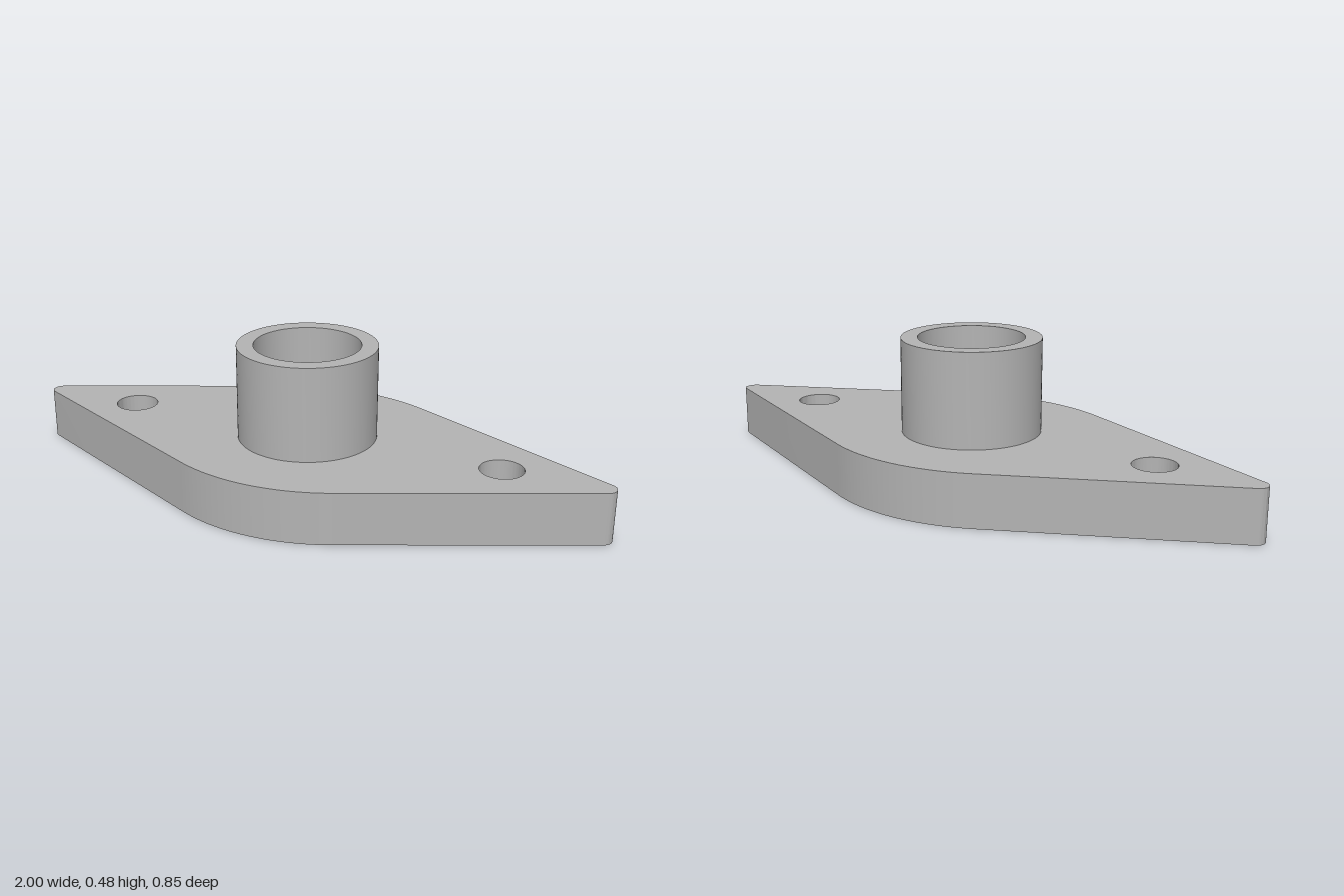
import * as THREE from 'three';
import { toCreasedNormals } from 'three/addons/utils/BufferGeometryUtils.js';

const PLATE_H = 0.17, TOTAL_H = 0.477, BORE = 0.172;

function circleHole(x, r) {
  const path = new THREE.Path();
  path.absarc(x, 0, r, 0, Math.PI * 2, true);
  return path;
}

// Extrude a plan shape upward from y0, with smooth curved walls and sharp rims
function extrudeUp(shape, y0, height) {
  const geo = new THREE.ExtrudeGeometry(shape, { depth: height, bevelEnabled: false, curveSegments: 48 });
  geo.rotateX(-Math.PI / 2);
  geo.translate(0, y0, 0);
  return toCreasedNormals(geo, 0.5);
}

export function createModel() {
  const group = new THREE.Group();
  group.name = 'flangedBushing';
  const metal = new THREE.MeshStandardMaterial({ color: 0xb4b4b4 });
  metal.name = 'greyMetal';

  // Diamond outline: broad arcs front and back, small tip arcs, joined by tangent lines
  const a = THREE.MathUtils.degToRad(25), tip = 0.034, halfDepth = 0.425;
  const d = (1 - tip) * Math.sin(a) + tip;
  const c = (halfDepth - d) / (1 - Math.cos(a));
  const R = halfDepth - c, q = Math.PI / 2;
  const outline = new THREE.Shape();
  outline.absarc(1 - tip, 0, tip, a - q, q - a, false);
  outline.absarc(0, c, R, q - a, q + a, false);
  outline.absarc(-1 + tip, 0, tip, q + a, 3 * q - a, false);
  outline.absarc(0, -c, R, 3 * q - a, 3 * q + a, false);
  outline.closePath();

  // Bore and two bolt holes
  outline.holes.push(circleHole(0, BORE), circleHole(-0.652, 0.07), circleHole(0.652, 0.07));
  const plate = new THREE.Mesh(extrudeUp(outline, 0, PLATE_H), metal);
  plate.name = 'flangePlate';

  // Hollow sleeve standing on the plate
  const ring = new THREE.Shape();
  ring.absarc(0, 0, 0.226, 0, Math.PI * 2, false);
  ring.holes.push(circleHole(0, BORE));
  const sleeve = new THREE.Mesh(extrudeUp(ring, PLATE_H, TOTAL_H - PLATE_H), metal);
  sleeve.name = 'sleeve';

  group.add(plate, sleeve);
  return group;
}
